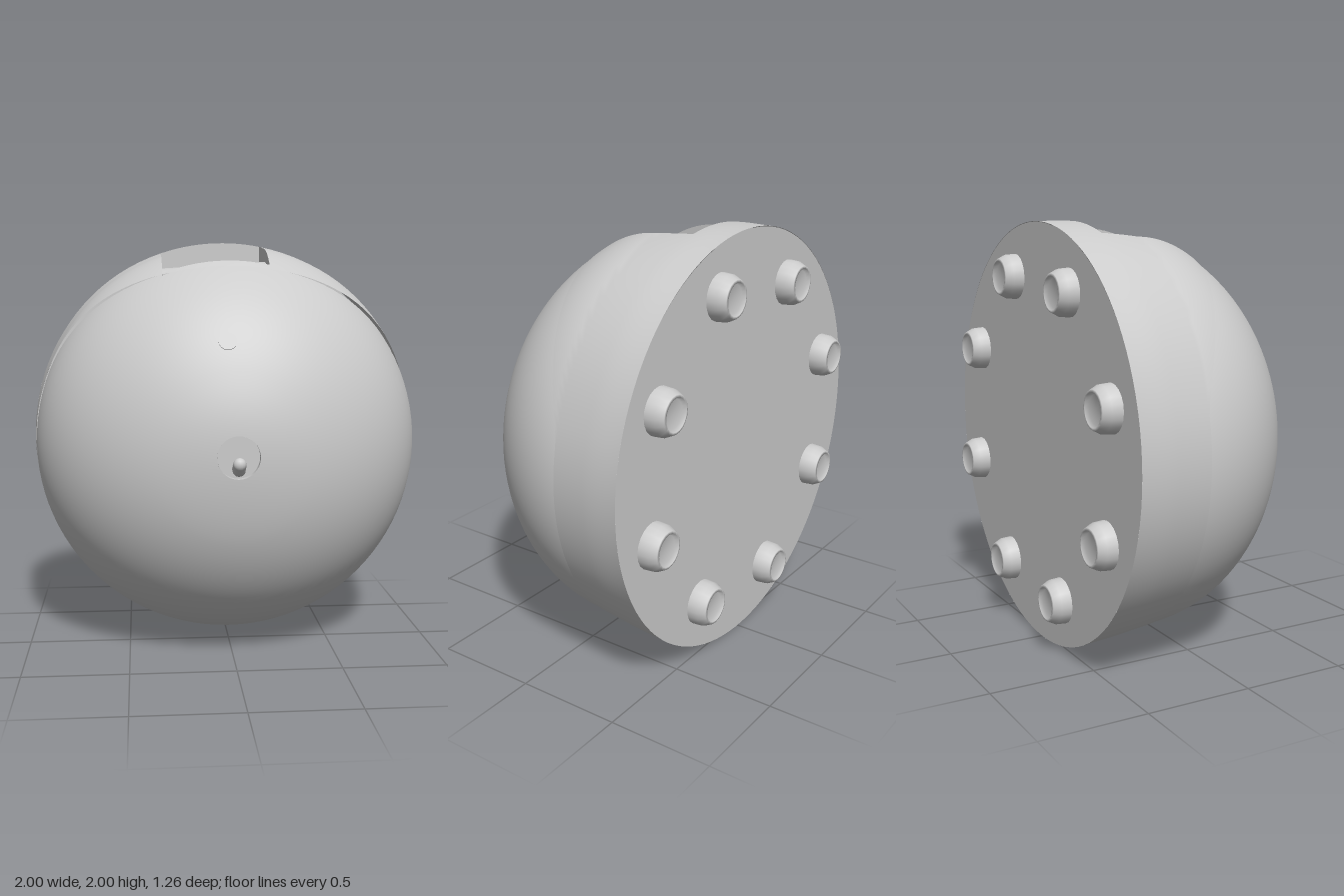
import * as THREE from 'three';
import { ParametricGeometry } from 'three/addons/geometries/ParametricGeometry.js';

const { lerp, clamp, smoothstep } = THREE.MathUtils;
const TAU = Math.PI * 2;
const BACK = -0.53, MID = -0.17, DEPTH = 0.76, RADIUS = 0.96, CY = 1;
const POCKET = { x0: -0.325, x1: 0.19, z0: -0.355, z1: 0.11 };

// Angles run around z, from the top (0) towards +x.
const seamZ = a => -0.18 + 0.33 * Math.pow(clamp((Math.cos(a) - 0.22) / 0.78, 0, 1), 1.2);

// Radius of the rear casing: slight cone, then ellipsoid, with a swelling on top.
function casingRadius(z, a) {
  const t = (z - MID) / DEPTH;
  const base = z < MID ? lerp(1, RADIUS, (z - BACK) / (MID - BACK)) : RADIUS * Math.sqrt(1 - t * t);
  const s = (z + 0.2) / 0.35;
  const swell = 0.023 * smoothstep(Math.cos(a), 0.3, 0.9) * Math.max(0, 1 - s * s);
  return base + swell + 0.005 * smoothstep(z, BACK, -0.35);
}
const casingPoint = (z, a, p) => {
  const r = casingRadius(z, a);
  p.set(r * Math.sin(a), CY + r * Math.cos(a), z);
};
const angleAt = (x, z) => Math.asin(x / casingRadius(z, 0));
const rimY = (x, z) => CY + Math.sqrt(casingRadius(z, 0) ** 2 - x * x);
const floorY = (x, z) => 1.885 + 0.065 * (x + 0.07) - 0.055 * smoothstep(z, -0.1, POCKET.z1);

export function createModel() {
  const group = new THREE.Group();
  const material = new THREE.MeshStandardMaterial({ color: 0xcccccc, side: THREE.DoubleSide });
  const add = (name, geometry, parent = group) => {
    const mesh = new THREE.Mesh(geometry, material);
    mesh.name = name;
    parent.add(mesh);
    return mesh;
  };
  const surface = (name, fn, nu, nv) => add(name, new ParametricGeometry(fn, nu, nv));

  // Front dome, from just under the casing seam to the small nose opening
  const HOLE = 0.098, HOLE_Y = 0.02;
  const tEnd = Math.acos(HOLE / RADIUS);
  surface('frontDome', (u, v, p) => {
    const a = v * TAU;
    const t = lerp(Math.asin((seamZ(a) - 0.015 - MID) / DEPTH), tEnd, u);
    const r = RADIUS * Math.cos(t);
    const shift = HOLE_Y * (1 - smoothstep(r, HOLE, 0.4));
    p.set(r * Math.sin(a), CY + shift + r * Math.cos(a), MID + DEPTH * Math.sin(t));
  }, 32, 96);

  // Rear casing all round, leaving the strip that holds the pocket
  surface('rearCasing', (u, v, p) => {
    const z = lerp(BACK, seamZ(lerp(0.2, TAU - 0.35, v)), u);
    casingPoint(z, lerp(angleAt(POCKET.x1, z), TAU + angleAt(POCKET.x0, z), v), p);
  }, 24, 96);

  // Casing strips behind and in front of the pocket
  const strip = (name, z0, z1) => surface(name, (u, v, p) => {
    const z = lerp(z0, z1(lerp(-0.35, 0.2, v)), u);
    casingPoint(z, lerp(angleAt(POCKET.x0, z), angleAt(POCKET.x1, z), v), p);
  }, 8, 12);
  strip('casingBehindPocket', BACK, () => POCKET.z0);
  strip('casingBeforePocket', POCKET.z1, seamZ);

  // Pocket floor and its four walls
  surface('pocketFloor', (u, v, p) => {
    const z = lerp(POCKET.z0, POCKET.z1, u), x = lerp(POCKET.x0, POCKET.x1, v);
    p.set(x, floorY(x, z), z);
  }, 16, 4);
  const { x0, x1, z0, z1 } = POCKET;
  const corners = [[x0, z0], [x1, z0], [x1, z1], [x0, z1]];
  corners.forEach(([ax, az], i) => {
    const [bx, bz] = corners[(i + 1) % 4];
    surface('pocketWall', (u, v, p) => {
      const x = lerp(ax, bx, u), z = lerp(az, bz, u);
      p.set(x, lerp(floorY(x, z), rimY(x, z), v), z);
    }, 16, 1);
  });

  // Flat back plate
  const plate = add('backPlate', new THREE.CircleGeometry(1, 96));
  plate.position.set(0, CY, BACK);
  plate.rotation.y = Math.PI;

  // Nose opening: short wall and recessed bottom, with a small hook inside
  const rimZ = MID + DEPTH * Math.sin(tEnd);
  const wall = add('noseRecessWall', new THREE.CylinderGeometry(HOLE, HOLE, 0.03, 32, 1, true));
  wall.rotation.x = Math.PI / 2;
  wall.position.set(0, CY + HOLE_Y, rimZ - 0.015);
  const bottom = add('noseRecessBottom', new THREE.CircleGeometry(HOLE, 32));
  bottom.position.set(0, CY + HOLE_Y, rimZ - 0.03);

  const hook = new THREE.CatmullRomCurve3([
    new THREE.Vector3(0, 0.97, 0.55), new THREE.Vector3(0, 0.965, 0.585), new THREE.Vector3(0, 0.995, 0.622),
  ]);
  add('noseHook', new THREE.TubeGeometry(hook, 12, 0.03, 12));
  const tip = add('noseHookTip', new THREE.SphereGeometry(0.03, 16, 10));
  tip.position.set(0, 0.995, 0.616);
  tip.scale.z = 0.8;

  // Small round plug above the nose, nearly flush with the dome
  const t = Math.acos(0.53 / RADIUS);
  const plug = add('plug', new THREE.CylinderGeometry(0.042, 0.042, 0.02, 20));
  plug.position.set(-0.04, CY + 0.53, MID + DEPTH * Math.sin(t) - 0.007);
  const normal = new THREE.Vector3(-0.04 / RADIUS ** 2, 0.53 / RADIUS ** 2, Math.sin(t) / DEPTH).normalize();
  plug.quaternion.setFromUnitVectors(new THREE.Vector3(0, 1, 0), normal);

  // Ring of eight hollow-topped studs on the back
  const profile = [[0.108, 0], [0.104, 0.05], [0.086, 0.085], [0.074, 0.088], [0.066, 0.07], [0, 0.07]];
  const studGeometry = new THREE.LatheGeometry(profile.map(([x, y]) => new THREE.Vector2(x, y)), 20);
  for (let i = 0; i < 8; i++) {
    const a = THREE.MathUtils.degToRad(18 + 45 * i);
    const stud = add('backStud', studGeometry);
    stud.rotation.x = -Math.PI / 2;
    stud.position.set(0.78 * Math.sin(a), CY + 0.78 * Math.cos(a), BACK);
  }
  return group;
}
